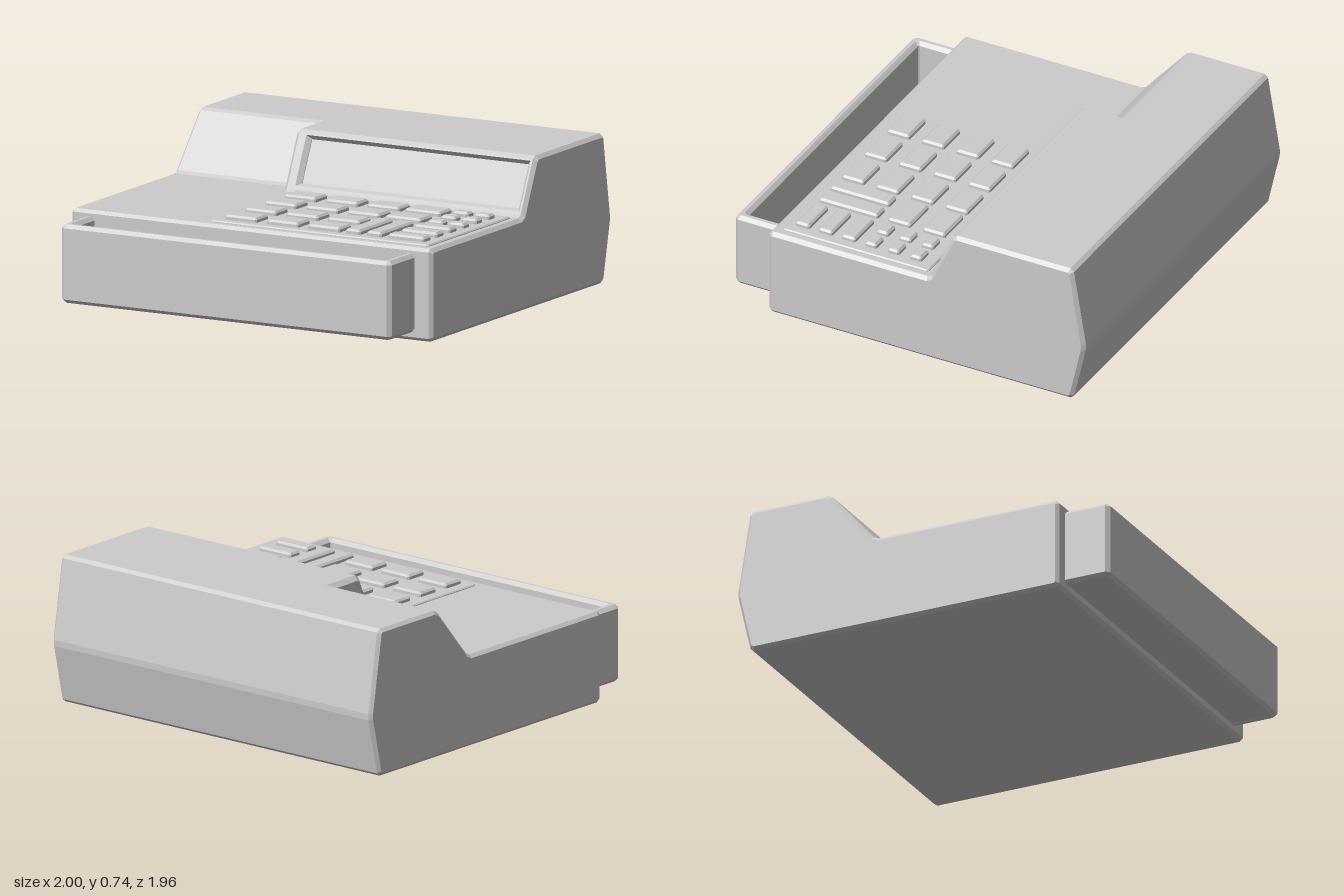
import * as THREE from 'three';

const material = new THREE.MeshStandardMaterial({ color: 0xcccccc });

// Cut every corner of a closed outline by distance c
function chamfer(points, c) {
  const v = points.map(([a, b]) => new THREE.Vector2(a, b));
  const out = [];
  v.forEach((p, i) => {
    const prev = v[(i + v.length - 1) % v.length];
    const next = v[(i + 1) % v.length];
    for (const q of [prev, next]) {
      out.push(p.clone().add(q.clone().sub(p).setLength(c)));
    }
  });
  return out;
}

function bevelled(shape, length, b) {
  return new THREE.ExtrudeGeometry(shape, {
    depth: length - 2 * b, bevelEnabled: b > 0,
    bevelThickness: b, bevelSize: b, bevelOffset: -b, bevelSegments: 1,
  }).translate(0, 0, b);
}

function add(parent, name, geometry) {
  const mesh = new THREE.Mesh(geometry, material);
  mesh.name = name;
  parent.add(mesh);
  return mesh;
}

// Side profile of (z, y) points swept from x0 to x1
function sweep(profile, x0, x1, b) {
  const shape = new THREE.Shape(profile.map((p) => new THREE.Vector2(-p.x, p.y)));
  return bevelled(shape, x1 - x0, b).rotateY(Math.PI / 2).translate(x0, 0, 0);
}

function rectPoints(x0, x1, z0, z1) {
  return [[x0, -z1], [x1, -z1], [x1, -z0], [x0, -z0]];
}

// Bevelled block lying flat, with an optional opening through it
function slab(x0, x1, z0, z1, y0, y1, b, c, opening) {
  const shape = new THREE.Shape(chamfer(rectPoints(x0, x1, z0, z1), c));
  if (opening) shape.holes.push(new THREE.Path(chamfer(rectPoints(...opening), 0.005)));
  return bevelled(shape, y1 - y0, b).rotateX(-Math.PI / 2).translate(0, y0, 0);
}

// Profile whose sloped face runs from zFoot on the deck to zTop
function bodyProfile(zFoot, zTop) {
  return chamfer([[0.745, 0], [0.745, 0.455], [zFoot, 0.455], [zTop, 0.735],
    [-0.91, 0.735], [-0.98, 0.31], [-0.91, 0]], 0.016);
}

export function createModel() {
  const model = new THREE.Group();
  model.name = 'cashRegister';

  // Housing: low right-hand section, then the raised display head
  const housing = new THREE.Group();
  housing.name = 'housing';
  model.add(housing);
  const head = bodyProfile(-0.13, -0.26);
  add(housing, 'plainSection', sweep(bodyProfile(-0.24, -0.48), -1, -0.15, 0.016));
  add(housing, 'headInnerEnd', sweep(head, -0.335, -0.25, 0.022));
  add(housing, 'headOuterEnd', sweep(head, 0.955, 1, 0.018));

  // Middle of the head, with the display recess cut into the slope
  const onSlope = (t, d) =>
    new THREE.Vector2(-0.13 - 0.13 * t - 0.907 * d, 0.455 + 0.28 * t - 0.42 * d);
  const recessed = head.slice();
  recessed.splice(6, 0, onSlope(0.1, 0), onSlope(0.17, 0.026),
    onSlope(0.88, 0.026), onSlope(0.92, 0));
  add(housing, 'displayRecess', sweep(recessed, -0.275, 0.975, 0));

  // Keyboard
  const keyboard = new THREE.Group();
  keyboard.name = 'keyboard';
  model.add(keyboard);
  add(keyboard, 'keyPlate', slab(-0.26, 0.95, -0.1, 0.695, 0.44, 0.464, 0.006, 0.01));
  const key = (name, x0, x1, z0, z1) =>
    add(keyboard, name, slab(x0, x1, z0, z1, 0.445, 0.488, 0.01, 0.008));

  const rows = [[-0.035, 0.085], [0.153, 0.274], [0.342, 0.463], [0.53, 0.65]];
  for (const [z0, z1] of rows) {
    for (const x of [-0.203, 0.028, 0.258]) key('numberKey', x, x + 0.175, z0, z1);
  }
  for (const [z0, z1] of rows.slice(0, 2)) key('functionKey', 0.465, 0.663, z0, z1);
  for (const x of [0.465, 0.582]) key('tallKey', x, x + 0.082, 0.33, 0.65);
  for (const z of [-0.035, 0.087, 0.21]) {
    for (const x of [0.7, 0.818]) key('smallKey', x, x + 0.083, z, z + 0.062);
  }
  for (const z of [0.325, 0.45, 0.575]) key('wideKey', 0.7, 0.9, z, z + 0.075);

  // Cash drawer, slid partly open
  const drawer = new THREE.Group();
  drawer.name = 'drawer';
  model.add(drawer);
  add(drawer, 'drawerWalls',
    slab(-0.925, 0.905, 0.6, 0.98, 0.04, 0.425, 0.018, 0.02, [-0.87, 0.85, 0.65, 0.93]));
  add(drawer, 'drawerFloor', slab(-0.9, 0.88, 0.62, 0.95, 0.045, 0.12, 0, 0.005));

  return model;
}
